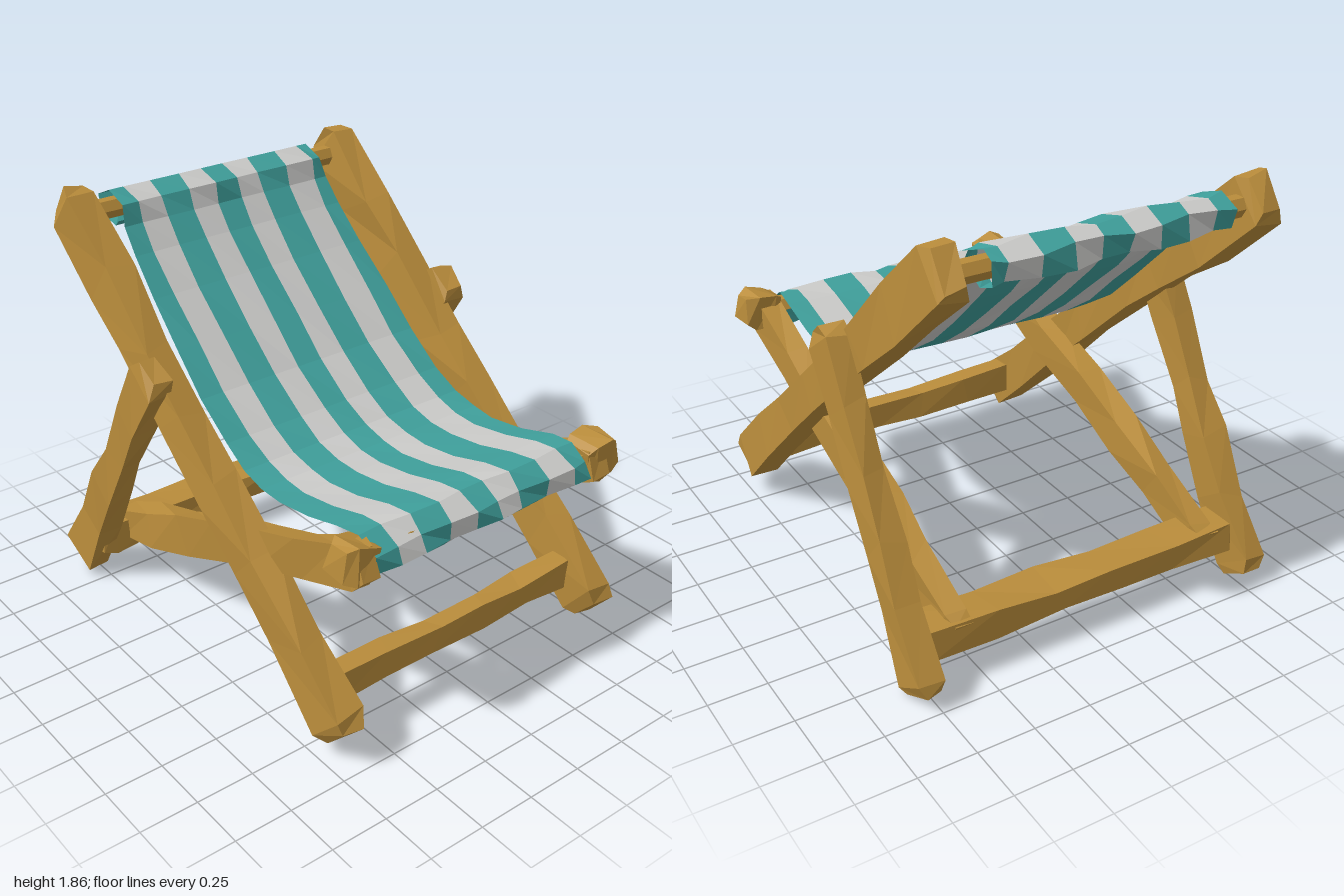
import * as THREE from 'three';
import { mergeVertices } from 'three/addons/utils/BufferGeometryUtils.js';

const wood = new THREE.MeshStandardMaterial({ color: 0xb98c3b, flatShading: true });
wood.name = 'wood';
const teal = new THREE.MeshStandardMaterial({ color: 0x3f9f9b, flatShading: true, side: THREE.DoubleSide });
teal.name = 'teal canvas';
const pale = new THREE.MeshStandardMaterial({ color: 0xcbcbc9, flatShading: true, side: THREE.DoubleSide });
pale.name = 'pale canvas';

function randomFrom(seed) {
  let s = seed * 7919 + 17;
  return () => {
    s = (s * 16807) % 2147483647;
    return (s / 2147483647) * 2 - 1;
  };
}

// Rough-hewn beam from a to b with bevelled ends; heights are the section depths along it
function beam(name, a, b, width, heights, seed, rough = 0.013) {
  const start = new THREE.Vector3(...a), end = new THREE.Vector3(...b);
  const length = start.distanceTo(end), n = heights.length - 1;
  const bevel = Math.min(0.055, length * 0.25);
  let geo = new THREE.BoxGeometry(1, 1, n, 1, 1, n);
  geo.deleteAttribute('normal');
  geo.deleteAttribute('uv');
  geo = mergeVertices(geo);
  const rand = randomFrom(seed), p = geo.attributes.position;
  for (let i = 0; i < 40; i++) rand();
  for (let i = 0; i < p.count; i++) {
    const k = Math.round(p.getZ(i) + n / 2);
    const isEnd = k === 0 || k === n;
    const along = k === 0 ? 0 : k === n ? length
      : bevel + (length - 2 * bevel) * (k - 1) / (n - 2);
    p.setXYZ(i,
      p.getX(i) * width * (isEnd ? 0.75 : 1) + rand() * rough,
      p.getY(i) * heights[k] + rand() * rough,
      along - length / 2 + rand() * (k < 2 || k > n - 2 ? rough : length * 0.03));
  }
  // local z runs along the beam, local x stays across the chair where possible
  const dir = end.clone().sub(start).normalize();
  const ref = Math.abs(dir.x) > 0.8 ? new THREE.Vector3(0, 0, 1) : new THREE.Vector3(1, 0, 0);
  const up = dir.clone().cross(ref).normalize();
  const side = up.clone().cross(dir);
  geo.applyMatrix4(new THREE.Matrix4().makeBasis(side, up, dir));
  geo.translate(...start.add(end).multiplyScalar(0.5).toArray());
  geo = geo.toNonIndexed();
  geo.computeVertexNormals();
  const mesh = new THREE.Mesh(geo, wood);
  mesh.name = name;
  return mesh;
}

// Hexagonal rod across the chair
function rod(name, y, z, radius, halfLength) {
  const geo = new THREE.CylinderGeometry(radius, radius, halfLength * 2, 6);
  geo.rotateZ(Math.PI / 2);
  geo.translate(0, y, z);
  const mesh = new THREE.Mesh(geo, wood);
  mesh.name = name;
  return mesh;
}

// Canvas profile rows: z, y, left edge, right edge
const rows = [
  [0.83, 0.9, -0.57, 0.53], [0.85, 0.83, -0.57, 0.53], [0.92, 0.81, -0.575, 0.53],
  [0.98, 0.86, -0.58, 0.53], [0.965, 0.93, -0.58, 0.53], [0.88, 0.982, -0.58, 0.53],
  [0.76, 0.965, -0.585, 0.54], [0.58, 0.915, -0.585, 0.54], [0.4, 0.888, -0.585, 0.545],
  [0.28, 0.893, -0.585, 0.55], [0.16, 0.92, -0.585, 0.55], [0.03, 0.985, -0.58, 0.55],
  [-0.15, 1.11, -0.575, 0.55], [-0.32, 1.265, -0.57, 0.545], [-0.5, 1.43, -0.565, 0.535],
  [-0.64, 1.575, -0.555, 0.52], [-0.72, 1.68, -0.55, 0.505], [-0.75, 1.765, -0.545, 0.5],
  [-0.85, 1.805, -0.545, 0.5], [-0.925, 1.77, -0.545, 0.5], [-0.92, 1.68, -0.545, 0.5],
  [-0.82, 1.655, -0.545, 0.5], [-0.77, 1.69, -0.545, 0.5],
];
const stripeEdges = [-0.6, -0.465, -0.34, -0.205, -0.08, 0.04, 0.16, 0.305, 0.445, 0.6];

function stripe(index) {
  const positions = [], indices = [];
  rows.forEach(([z, y, left, right], r) => {
    for (const c of [index, index + 1]) {
      const x = Math.min(right, Math.max(left, stripeEdges[c]));
      // crumpled where wrapped around the rods, gentler on the span
      const wrapped = r < 6 || r > 16;
      const wave = (wrapped ? 0.01 : 0.004) * Math.sin(c * 1.7 + r * 1.9);
      positions.push(x, y + wave * 0.6, z + wave * (wrapped ? 1.6 : 1));
    }
    if (r) {
      const k = r * 2;
      indices.push(k - 2, k - 1, k, k - 1, k + 1, k);
    }
  });
  const geo = new THREE.BufferGeometry();
  geo.setAttribute('position', new THREE.Float32BufferAttribute(positions, 3));
  geo.setIndex(indices);
  geo.computeVertexNormals();
  const mesh = new THREE.Mesh(geo, index % 2 ? pale : teal);
  mesh.name = 'canvasStripe' + (index + 1);
  return mesh;
}

export function createModel() {
  const chair = new THREE.Group();
  chair.name = 'deckChair';

  // Side timbers, one set per side; the frame leans a little towards -x at the top
  for (const s of [1, -1]) {
    const label = s > 0 ? 'left' : 'right';
    chair.add(
      beam(label + 'MainRail', [s * 0.685, 0.14, 0.935], [s * 0.685 - 0.015, 1.79, -0.915], 0.13,
        [0.15, 0.215, 0.2, 0.165, 0.155, 0.16, 0.185, 0.22, 0.23, 0.16], 3 + s),
      beam(label + 'BackLeg', [s * 0.78, 1.295, -0.165], [s * 0.775, 0.045, -0.905], 0.108,
        [0.12, 0.185, 0.16, 0.14, 0.15, 0.17, 0.215, 0.16], 8 + s),
      beam(label + 'SeatRail', [s * 0.6 - 0.012, 0.91, 0.97], [s * 0.6 - 0.012, 0.21, -0.84], 0.1,
        [0.12, 0.18, 0.165, 0.16, 0.17, 0.175, 0.155, 0.14, 0.12], 13 + s),
      // Block at the end of the front seat rod
      beam(label + 'SeatRodEnd', [s * 0.54, 0.9, 0.9], [s * 0.7, 0.92, 0.9], 0.15,
        [0.12, 0.14, 0.15, 0.12], 28 + s),
    );
  }

  // Crossbars
  chair.add(
    beam('frontCrossbar', [-0.68, 0.275, 0.79], [0.68, 0.275, 0.79], 0.09,
      [0.12, 0.13, 0.12, 0.12, 0.13, 0.12, 0.13, 0.12], 31),
    beam('backCrossbar', [-0.78, 0.215, -0.78], [0.78, 0.215, -0.78], 0.17,
      [0.13, 0.14, 0.12, 0.11, 0.11, 0.12, 0.14, 0.13], 36),
    rod('topRod', 1.73, -0.845, 0.045, 0.66),
    rod('seatRod', 0.895, 0.905, 0.05, 0.64),
  );

  // Striped canvas sling
  const canvas = new THREE.Group();
  canvas.name = 'canvas';
  for (let i = 0; i < stripeEdges.length - 1; i++) canvas.add(stripe(i));
  chair.add(canvas);

  // Stand on the ground, centred front to back
  const box = new THREE.Box3().setFromObject(chair, true);
  chair.position.set(0, -box.min.y, -(box.min.z + box.max.z) / 2);
  const model = new THREE.Group();
  model.name = 'model';
  model.add(chair);
  return model;
}
